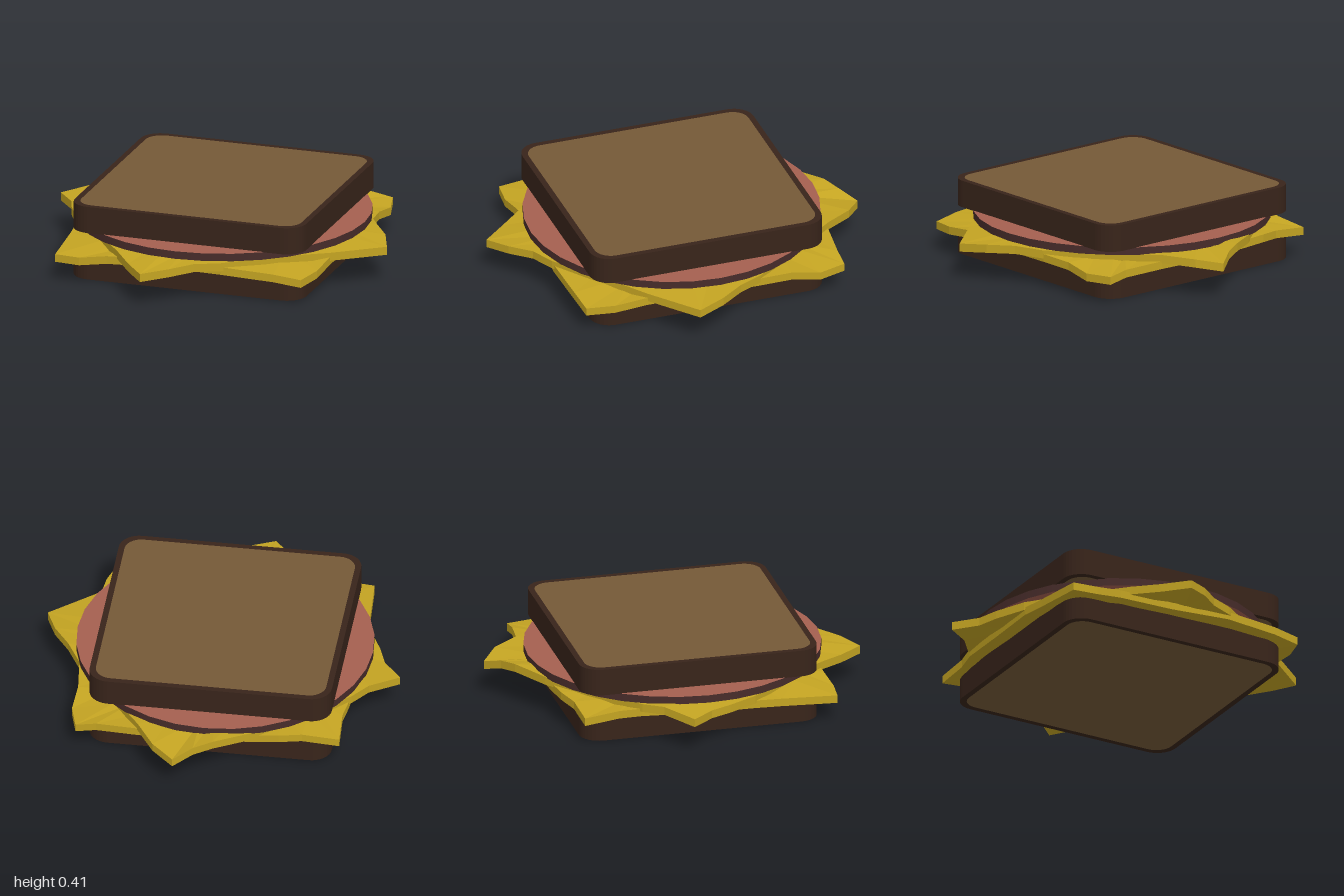
import * as THREE from 'three';

const CX = -0.012; // the bread and meat sit slightly off centre
const paint = (color, flatShading = false) => new THREE.MeshStandardMaterial({ color, flatShading });

// Rounded square outline, usable as a shape or a hole
function roundedSquare(Type, h, r) {
  const s = new Type();
  s.moveTo(h, r - h);
  s.absarc(h - r, h - r, r, 0, Math.PI / 2);
  s.absarc(r - h, h - r, r, Math.PI / 2, Math.PI);
  s.absarc(r - h, r - h, r, Math.PI, Math.PI * 1.5);
  s.absarc(h - r, r - h, r, Math.PI * 1.5, Math.PI * 2);
  return s;
}

// A slice of bread: crust frame around a crumb filling
function breadSlice(name, y, thickness) {
  const slice = new THREE.Group();
  slice.name = name;
  const add = (part, shape, color) => {
    const geo = new THREE.ExtrudeGeometry(shape, { depth: thickness, bevelEnabled: false, curveSegments: 4 });
    geo.rotateX(-Math.PI / 2);
    const mesh = new THREE.Mesh(geo, paint(color));
    mesh.name = part;
    slice.add(mesh);
  };
  const crust = roundedSquare(THREE.Shape, 0.652, 0.11);
  crust.holes.push(roundedSquare(THREE.Path, 0.62, 0.09));
  add('crust', crust, 0x38241a);
  add('crumb', roundedSquare(THREE.Shape, 0.62, 0.09), 0x755937);
  slice.position.set(CX, y, 0);
  return slice;
}

// A wavy cheese sheet: outline of [x, z, top height] around a flat middle
function cheeseSlice(name, outline, flatY, thickness) {
  const n = outline.length;
  const pos = [];
  const outer = (i, drop) => { const [x, z, y] = outline[i % n]; return [x, y - drop, z]; };
  const inner = (i, drop) => { const [x, z] = outline[i % n]; return [x * 0.74, flatY - drop, z * 0.74]; };
  const tri = (...p) => p.forEach((v) => pos.push(...v));
  for (let i = 0; i < n; i++) {
    const j = i + 1, t = thickness;
    // top
    tri([0, flatY, 0], inner(j, 0), inner(i, 0));
    tri(inner(i, 0), inner(j, 0), outer(j, 0));
    tri(inner(i, 0), outer(j, 0), outer(i, 0));
    // underside
    tri([0, flatY - t, 0], inner(i, t), inner(j, t));
    tri(inner(i, t), outer(j, t), inner(j, t));
    tri(inner(i, t), outer(i, t), outer(j, t));
    // rim
    tri(outer(i, 0), outer(j, 0), outer(i, t));
    tri(outer(j, 0), outer(j, t), outer(i, t));
  }
  const geo = new THREE.BufferGeometry();
  geo.setAttribute('position', new THREE.Float32BufferAttribute(pos, 3));
  geo.computeVertexNormals();
  const mesh = new THREE.Mesh(geo, paint(0xc4a422, true));
  mesh.name = name;
  return mesh;
}

export function createModel() {
  const sandwich = new THREE.Group();
  sandwich.name = 'sandwich';

  sandwich.add(breadSlice('bottomBread', 0, 0.15));
  sandwich.add(breadSlice('topBread', 0.26, 0.147));

  // Lower cheese, square to the bread, with drooping corners
  sandwich.add(cheeseSlice('lowerCheese', [
    [-0.72, -0.66, 0.16], [-0.52, -0.67, 0.18], [-0.40, -0.71, 0.19], [-0.25, -0.73, 0.19],
    [0.05, -0.74, 0.18], [0.35, -0.755, 0.19], [0.58, -0.73, 0.18], [0.69, -0.73, 0.16],
    [0.73, -0.58, 0.155], [0.72, -0.42, 0.18], [0.74, -0.24, 0.19], [0.72, 0.05, 0.18],
    [0.72, 0.39, 0.18], [0.71, 0.57, 0.16], [0.67, 0.72, 0.15], [0.52, 0.735, 0.17],
    [0.23, 0.75, 0.185], [-0.10, 0.72, 0.18], [-0.42, 0.73, 0.17], [-0.57, 0.745, 0.15],
    [-0.71, 0.73, 0.15], [-0.73, 0.42, 0.17], [-0.745, 0.27, 0.18], [-0.74, -0.05, 0.18],
    [-0.73, -0.35, 0.19], [-0.71, -0.47, 0.18],
  ], 0.183, 0.043));

  // Upper cheese, turned so its corners point forward, back and sideways
  sandwich.add(cheeseSlice('upperCheese', [
    [0.13, -1.0, 0.19], [0.25, -0.91, 0.215], [0.35, -0.76, 0.225], [0.54, -0.50, 0.215],
    [0.74, -0.24, 0.21], [0.82, -0.10, 0.22], [0.91, 0.03, 0.215], [0.97, 0.18, 0.20],
    [0.72, 0.39, 0.205], [0.50, 0.56, 0.215], [0.23, 0.76, 0.21], [0.10, 0.82, 0.21],
    [-0.01, 0.92, 0.20], [-0.14, 1.0, 0.185], [-0.25, 0.87, 0.19], [-0.36, 0.73, 0.205],
    [-0.55, 0.50, 0.215], [-0.75, 0.27, 0.21], [-0.83, 0.11, 0.205], [-0.87, 0.0, 0.20],
    [-0.97, -0.12, 0.20], [-0.82, -0.25, 0.225], [-0.74, -0.35, 0.22], [-0.50, -0.55, 0.215],
    [-0.25, -0.76, 0.225], [-0.07, -0.88, 0.24], [0.03, -0.93, 0.225],
  ], 0.221, 0.045));

  // Round meat slice: dark rind with pink faces
  const pink = paint(0xa56050);
  const meat = new THREE.Mesh(
    new THREE.CylinderGeometry(0.795, 0.795, 0.042, 32), [paint(0x472c2a), pink, pink]);
  meat.name = 'meatSlice';
  meat.position.set(CX, 0.241, 0);
  sandwich.add(meat);

  return sandwich;
}
